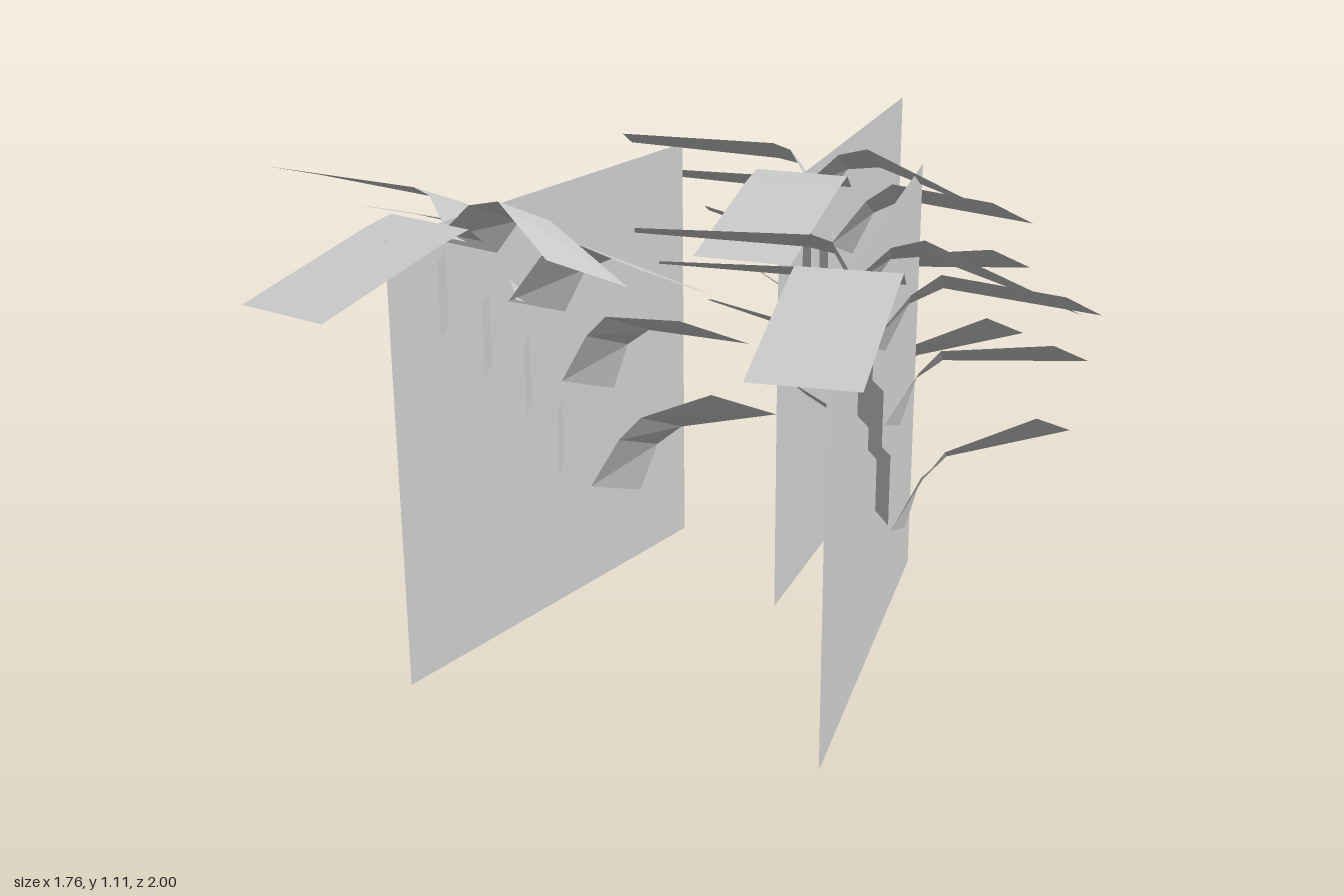
import * as THREE from 'three';

const material = new THREE.MeshStandardMaterial({ color: 0xcccccc, side: THREE.DoubleSide, flatShading: true });

// Folded strip: each row is a centre point and a half-width vector
function strip(name, rows) {
  const pos = [], index = [];
  rows.forEach(([c, h], i) => {
    for (const s of [-1, 1]) pos.push(c[0] + s * h[0], c[1] + s * h[1], c[2] + s * h[2]);
    if (i > 0) {
      const a = 2 * i - 2;
      index.push(a, a + 1, a + 2, a + 1, a + 3, a + 2);
    }
  });
  const geo = new THREE.BufferGeometry();
  geo.setAttribute('position', new THREE.Float32BufferAttribute(pos, 3));
  geo.setIndex(index);
  const flat = geo.toNonIndexed();
  flat.computeVertexNormals();
  const mesh = new THREE.Mesh(flat, material);
  mesh.name = name;
  return mesh;
}

// Side leaf: steep root, shoulder, fold and a long blade out to the tip
function sideLeaf(name, side, tip, fold, root) {
  const shoulder = root.map((v, i) => (v + fold[i]) / 2 + (i === 1 ? 0.035 : 0));
  const tipHalf = side < 0 ? [0.035, 0.038, 0.108] : [-0.03, 0.045, 0.088];
  const foldHalf = side < 0 ? [0.028, 0.045, 0.105] : [0.012, 0.045, 0.095];
  return strip(name, [
    [root, [side < 0 ? 0.02 : 0, 0.038, 0.095]],
    [shoulder, [0.018, 0.042, 0.098]],
    [fold, foldHalf],
    [tip, tipHalf],
  ]);
}

// Tip, fold and root centres, from the highest leaf to the lowest
const rightHand = [
  [[0.418, 0.993, 0.873], [0.133, 1.04, 0.73], [0, 0.95, 0.77]],
  [[0.437, 0.905, 0.6], [0.135, 0.905, 0.515], [0.01, 0.76, 0.56]],
  [[0.403, 0.74, 0.425], [0.12, 0.69, 0.375], [0.02, 0.525, 0.4]],
  [[0.36, 0.505, 0.25], [0.12, 0.405, 0.25], [0.025, 0.23, 0.31]],
];
const leftHand = [
  [[-0.43, 1.067, 0.85], [-0.1, 1.04, 0.74], [0, 0.95, 0.745]],
  [[-0.46, 0.92, 0.59], [-0.1, 0.905, 0.52], [0, 0.76, 0.545]],
  [[-0.4, 0.785, 0.41], [-0.12, 0.71, 0.385], [-0.02, 0.525, 0.39]],
  [[-0.335, 0.575, 0.22], [-0.11, 0.45, 0.22], [-0.025, 0.23, 0.27]],
];

// Hanging flowers: height and distance along the stem
const flowers = [[0.873, 0.835], [0.745, 0.705], [0.617, 0.577], [0.428, 0.47]];

function createPlant() {
  const plant = new THREE.Group();

  // Upright stem card
  const stem = new THREE.Mesh(new THREE.PlaneGeometry(1.01, 1.02), material);
  stem.name = 'stemCard';
  stem.rotation.y = Math.PI / 2;
  stem.position.set(0, 0.51, 0.505);
  plant.add(stem);

  // Flower cards, crossing the stem card at an angle
  flowers.forEach(([y, z], i) => {
    const card = new THREE.Mesh(new THREE.PlaneGeometry(0.164, 0.165), material);
    card.name = `flowerCard${i + 1}`;
    card.position.set(0, y, z);
    card.rotation.y = -Math.atan2(0.07, 0.0425);
    plant.add(card);
  });

  // Paired side leaves
  rightHand.forEach((p, i) => plant.add(sideLeaf(`leftLeaf${i + 1}`, 1, ...p)));
  leftHand.forEach((p, i) => plant.add(sideLeaf(`rightLeaf${i + 1}`, -1, ...p)));

  // Leaf at the end of the stem
  const half = [0.106, 0, -0.004];
  plant.add(strip('endLeaf', [
    [[0.01, 1.0, 0.85], half],
    [[0.012, 1.035, 0.89], half],
    [[0.014, 1.025, 0.965], half],
    [[0.022, 0.952, 1.315], half],
  ]));
  return plant;
}

export function createModel() {
  const model = new THREE.Group();
  model.name = 'archingPlants';
  // x, z and turn of each plant
  const places = [[0.413, -0.32, 0], [0.24, -1.0, -0.089], [-0.18, -0.36, -0.354]];
  places.forEach(([x, z, turn], i) => {
    const plant = createPlant();
    plant.name = `plant${i + 1}`;
    plant.position.set(x, 0, z);
    plant.rotation.y = turn;
    model.add(plant);
  });
  return model;
}
